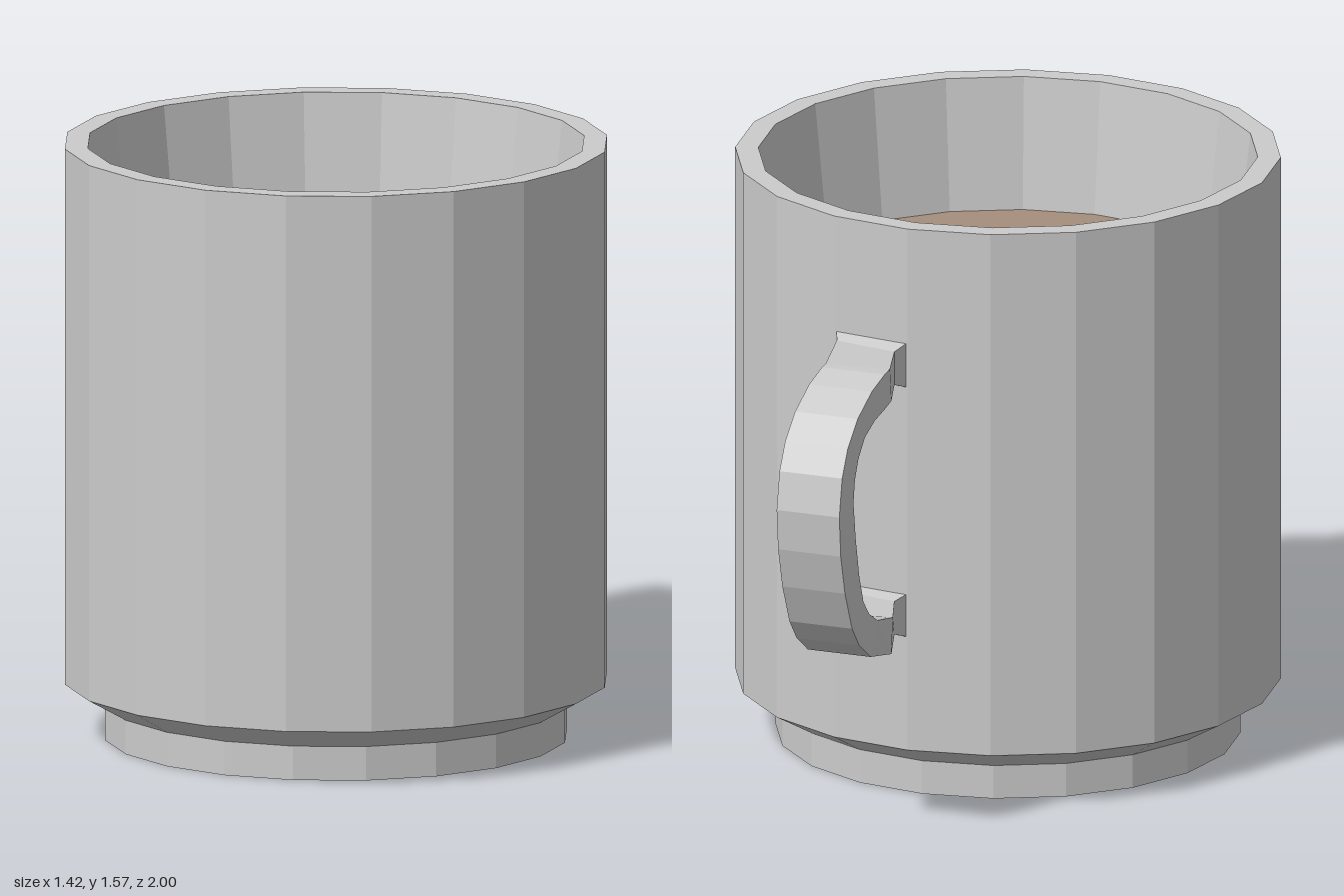
import * as THREE from 'three';

const SIDES = 20;
const CUP_Z = 0.29;

function flatMesh(name, geometry, color = 0xcccccc) {
  const flat = geometry.index ? geometry.toNonIndexed() : geometry;
  flat.computeVertexNormals();
  const mesh = new THREE.Mesh(flat, new THREE.MeshStandardMaterial({ color, flatShading: true }));
  mesh.name = name;
  return mesh;
}

// Handle stations: outer z, y, inner z, y, left x, right x, z shift of the right side
const STATIONS = [
  [-0.41, 1.26, -0.41, 1.135, 0.0, 0.215, 0.035],
  [-0.46, 1.245, -0.46, 1.155, 0.02, 0.195, 0.035],
  [-0.63, 1.255, -0.62, 1.165, -0.035, 0.137, -0.02],
  [-0.68, 1.255, -0.68, 1.16, -0.04, 0.135, 0],
  [-0.77, 1.235, -0.75, 1.15, -0.04, 0.135, 0],
  [-0.87, 1.19, -0.82, 1.125, -0.04, 0.135, 0],
  [-0.94, 1.13, -0.865, 1.08, -0.04, 0.135, 0],
  [-0.98, 1.06, -0.89, 1.03, -0.04, 0.135, 0],
  [-1.0, 0.96, -0.9, 0.97, -0.04, 0.135, 0],
  [-0.99, 0.85, -0.885, 0.87, -0.04, 0.135, 0],
  [-0.96, 0.74, -0.86, 0.76, -0.04, 0.135, 0],
  [-0.91, 0.63, -0.83, 0.68, -0.04, 0.135, 0],
  [-0.86, 0.57, -0.79, 0.635, -0.04, 0.135, 0],
  [-0.78, 0.515, -0.73, 0.6, -0.04, 0.135, 0],
  [-0.62, 0.475, -0.61, 0.572, -0.035, 0.137, -0.02],
  [-0.46, 0.475, -0.46, 0.565, 0.02, 0.195, 0.035],
  [-0.41, 0.455, -0.41, 0.575, 0.0, 0.215, 0.035],
];

function handleGeometry() {
  const positions = [];
  const index = [];
  for (const [zo, yo, zi, yi, xl, xr, dz] of STATIONS) {
    positions.push(xl, yo, zo, xr, yo, zo + dz, xr, yi, zi + dz, xl, yi, zi);
  }
  for (let i = 0; i < STATIONS.length - 1; i++) {
    for (let j = 0; j < 4; j++) {
      const a = i * 4 + j;
      const b = i * 4 + ((j + 1) % 4);
      index.push(a, b, b + 4, a, b + 4, a + 4);
    }
  }
  // End caps against the cup wall
  const e = (STATIONS.length - 1) * 4;
  index.push(0, 2, 1, 0, 3, 2, e, e + 1, e + 2, e, e + 2, e + 3);
  const geometry = new THREE.BufferGeometry();
  geometry.setAttribute('position', new THREE.Float32BufferAttribute(positions, 3));
  geometry.setIndex(index);
  return geometry;
}

export function createModel() {
  const group = new THREE.Group();
  group.name = 'mug';

  // Foot, outer wall, rim and inner wall in one profile
  const profile = [
    [0, 0], [0.605, 0], [0.605, 0.09], [0.71, 0.15], [0.71, 1.57],
    [0.65, 1.57], [0.61, 1.22],
  ].map(([r, y]) => new THREE.Vector2(r, y));
  const cup = flatMesh('cup', new THREE.LatheGeometry(profile, SIDES));
  cup.position.z = CUP_Z;
  group.add(cup);

  // Drink surface
  const surface = [new THREE.Vector2(0.612, 1.22), new THREE.Vector2(0, 1.22)];
  const drink = flatMesh('drink', new THREE.LatheGeometry(surface, SIDES), 0xa68f7d);
  drink.position.z = CUP_Z;
  group.add(drink);

  group.add(flatMesh('handle', handleGeometry()));
  return group;
}
